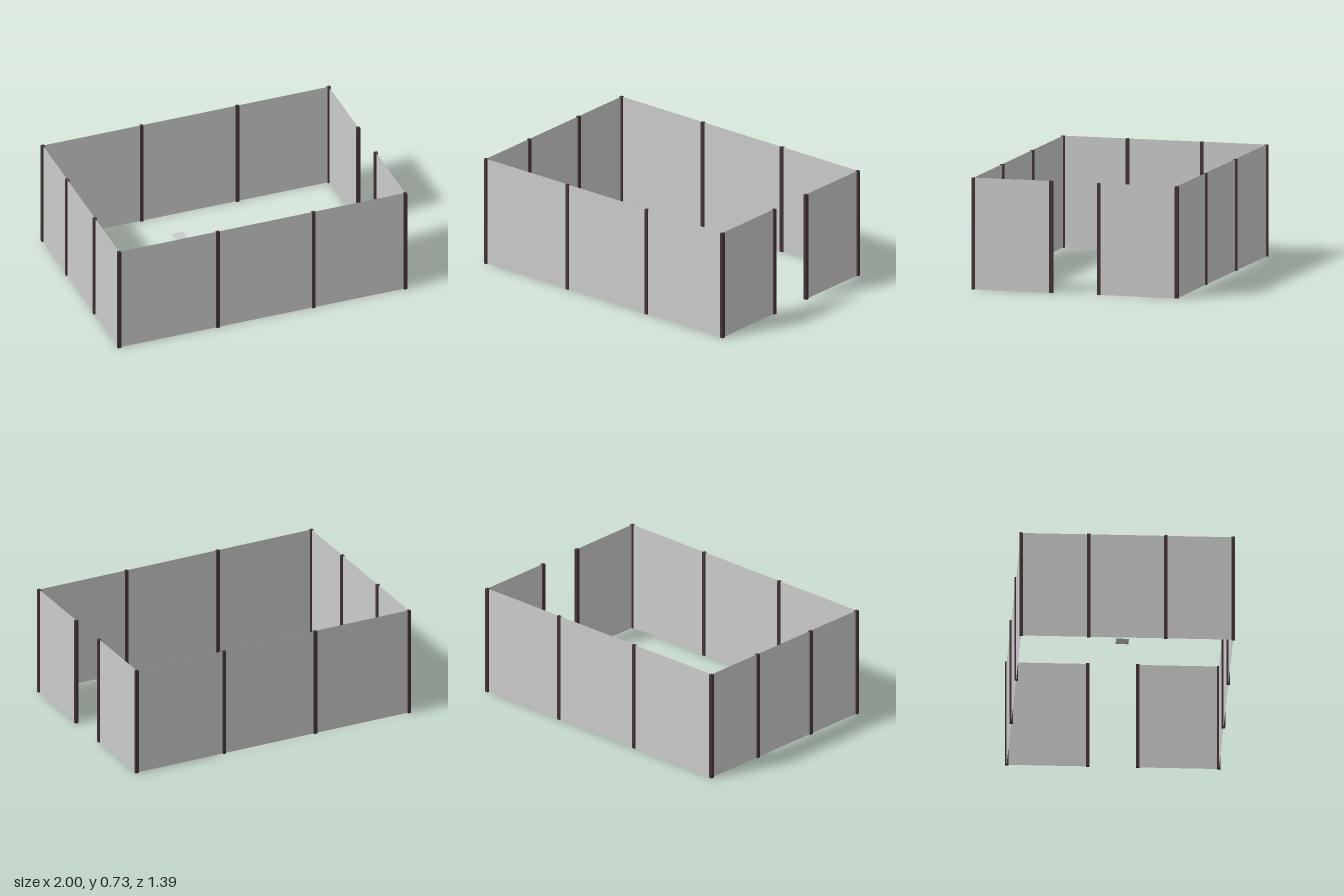
import * as THREE from 'three';

const HEIGHT = 0.73, POST = 0.022, X = 0.989, Z = 0.686;

export function createModel() {
  const group = new THREE.Group();
  const panelMat = new THREE.MeshStandardMaterial({ color: 0xcccccc, side: THREE.DoubleSide });
  const postMat = new THREE.MeshStandardMaterial({ color: 0x453538 });
  const postGeo = new THREE.BoxGeometry(POST, HEIGHT, POST);

  const add = (name, geo, mat, x, y, z) => {
    const mesh = new THREE.Mesh(geo, mat);
    mesh.name = name;
    mesh.position.set(x, y, z);
    group.add(mesh);
    return mesh;
  };
  const post = (x, z) => add('post', postGeo, postMat, x, HEIGHT / 2, z);

  // Thin upright panel between two ground points
  const panel = (name, x0, z0, x1, z1) => {
    const geo = new THREE.PlaneGeometry(Math.hypot(x1 - x0, z1 - z0), HEIGHT);
    const mesh = add(name, geo, panelMat, (x0 + x1) / 2, HEIGHT / 2, (z0 + z1) / 2);
    mesh.rotation.y = -Math.atan2(z1 - z0, x1 - x0);
  };

  // Long front and back walls with four posts each
  for (const [name, z, dir] of [['frontWall', Z, 1], ['backWall', -Z, -1]]) {
    panel(name, -X * dir, z, X * dir, z);
    for (const x of [-X, -0.307, 0.355, X]) post(x, z);
  }

  // Closed end wall
  panel('rightWall', -X, -Z, -X, Z);
  for (const z of [-0.25, 0.25]) post(-X, z);

  // Open end: two panels either side of the entrance
  for (const s of [1, -1]) {
    panel('entranceWall', X, s > 0 ? Z : -0.161, X, s > 0 ? 0.161 : -Z);
    post(X, s * 0.161);
  }

  // Small floating square plate inside
  const plate = add('plate', new THREE.PlaneGeometry(0.083, 0.083), panelMat, -0.307, 0.29, 0);
  plate.rotation.x = -Math.PI / 2;

  return group;
}
